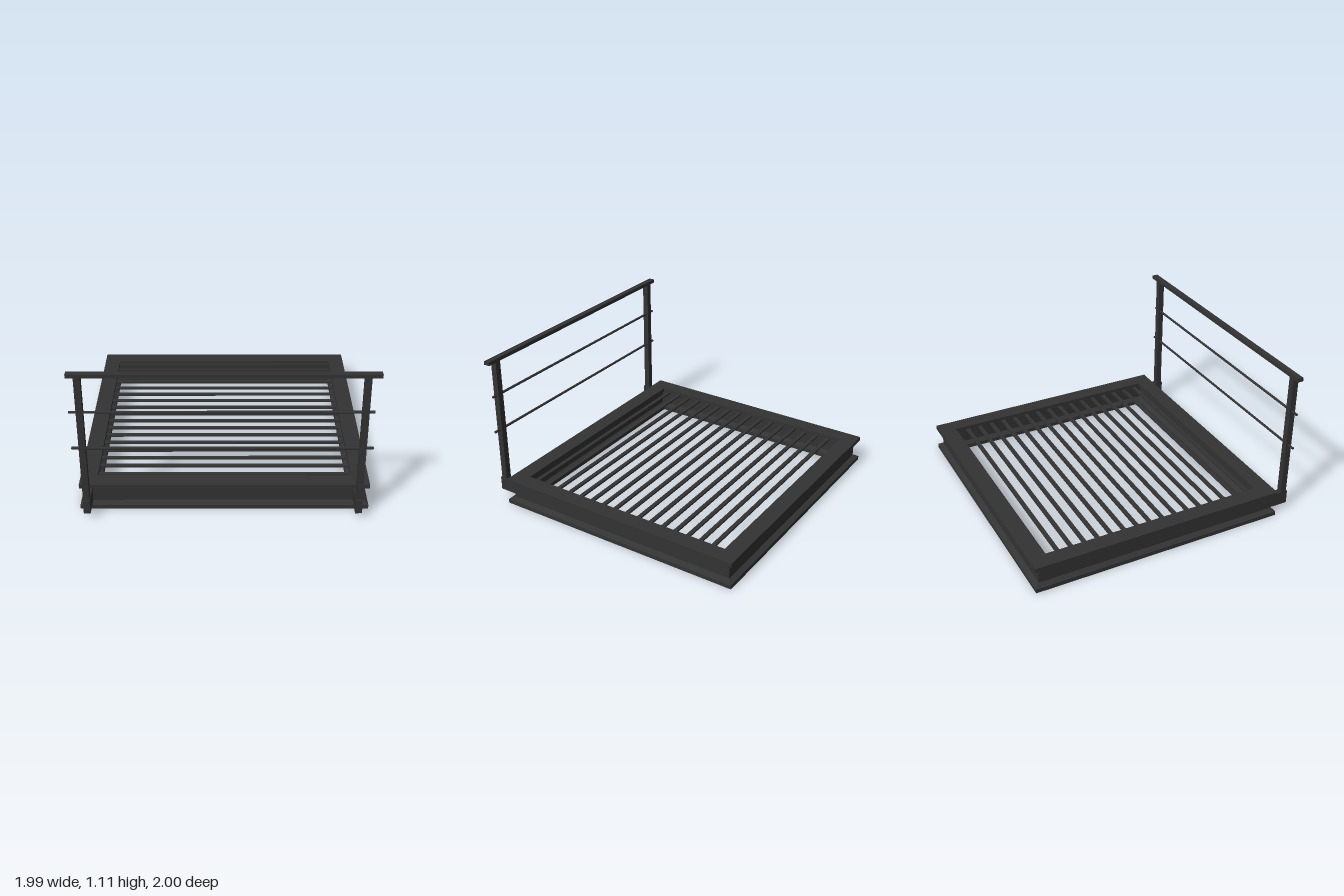
import * as THREE from 'three';

const steel = new THREE.MeshStandardMaterial({ color: 0x333333 });

function box(parent, name, x0, x1, y0, y1, z0, z1) {
  const mesh = new THREE.Mesh(new THREE.BoxGeometry(x1 - x0, y1 - y0, z1 - z0), steel);
  mesh.position.set((x0 + x1) / 2, (y0 + y1) / 2, (z0 + z1) / 2);
  mesh.name = name;
  parent.add(mesh);
}

// Sweeps an I-beam section [inset, height] around a rectangle with mitred corners
function beamFrameGeometry(halfX, zBack, zFront) {
  const section = [
    [0, 0], [0, 0.03], [0.035, 0.05], [0.035, 0.15], [0, 0.17], [0, 0.2],
    [0.117, 0.2], [0.117, 0.17], [0.082, 0.15], [0.082, 0.05], [0.117, 0.03], [0.117, 0],
  ];
  const corners = [[-1, 1], [1, 1], [1, -1], [-1, -1]];
  const point = (c, s) => {
    const [sx, sz] = corners[c % 4];
    const [d, y] = section[s % section.length];
    return [sx * (halfX - d), y, sz > 0 ? zFront - d : zBack + d];
  };
  const positions = [];
  for (let c = 0; c < 4; c++) {
    for (let s = 0; s < section.length; s++) {
      const a = point(c, s), b = point(c + 1, s);
      const d = point(c, s + 1), e = point(c + 1, s + 1);
      positions.push(...a, ...b, ...e, ...a, ...e, ...d);
    }
  }
  const geometry = new THREE.BufferGeometry();
  geometry.setAttribute('position', new THREE.Float32BufferAttribute(positions, 3));
  geometry.computeVertexNormals();
  return geometry;
}

export function createModel() {
  const model = new THREE.Group();
  model.name = 'platformWithRailing';

  // Frame of I-beams
  const frame = new THREE.Mesh(beamFrameGeometry(0.986, -1, 0.882), steel);
  frame.name = 'beamFrame';
  model.add(frame);

  // Grating of flat slats
  const grating = new THREE.Group();
  grating.name = 'grating';
  model.add(grating);
  for (let i = 0; i < 17; i++) {
    const z = -0.881 + i * 0.0997;
    box(grating, 'slat', -0.87, 0.863, 0.168, 0.18, z - 0.015, z + 0.015);
  }

  // Railing: brackets, posts, handrail and two thin rods
  const railing = new THREE.Group();
  railing.name = 'railing';
  model.add(railing);
  for (const x of [-0.947, 0.88]) {
    box(railing, 'bracket', x, x + 0.046, 0.05, 0.15, 0.845, 1);
    box(railing, 'post', x, x + 0.044, 0.15, 1.085, 0.945, 0.989);
  }
  box(railing, 'handrail', -0.997, 0.991, 1.084, 1.11, 0.944, 0.988);
  for (const [y, end] of [[0.553, 0.972], [0.826, 0.962]]) {
    const rod = new THREE.Mesh(new THREE.CylinderGeometry(0.009, 0.009, end + 0.997, 12), steel);
    rod.rotation.z = Math.PI / 2;
    rod.position.set((end - 0.997) / 2, y, 0.967);
    rod.name = 'railRod';
    railing.add(rod);
  }
  return model;
}
